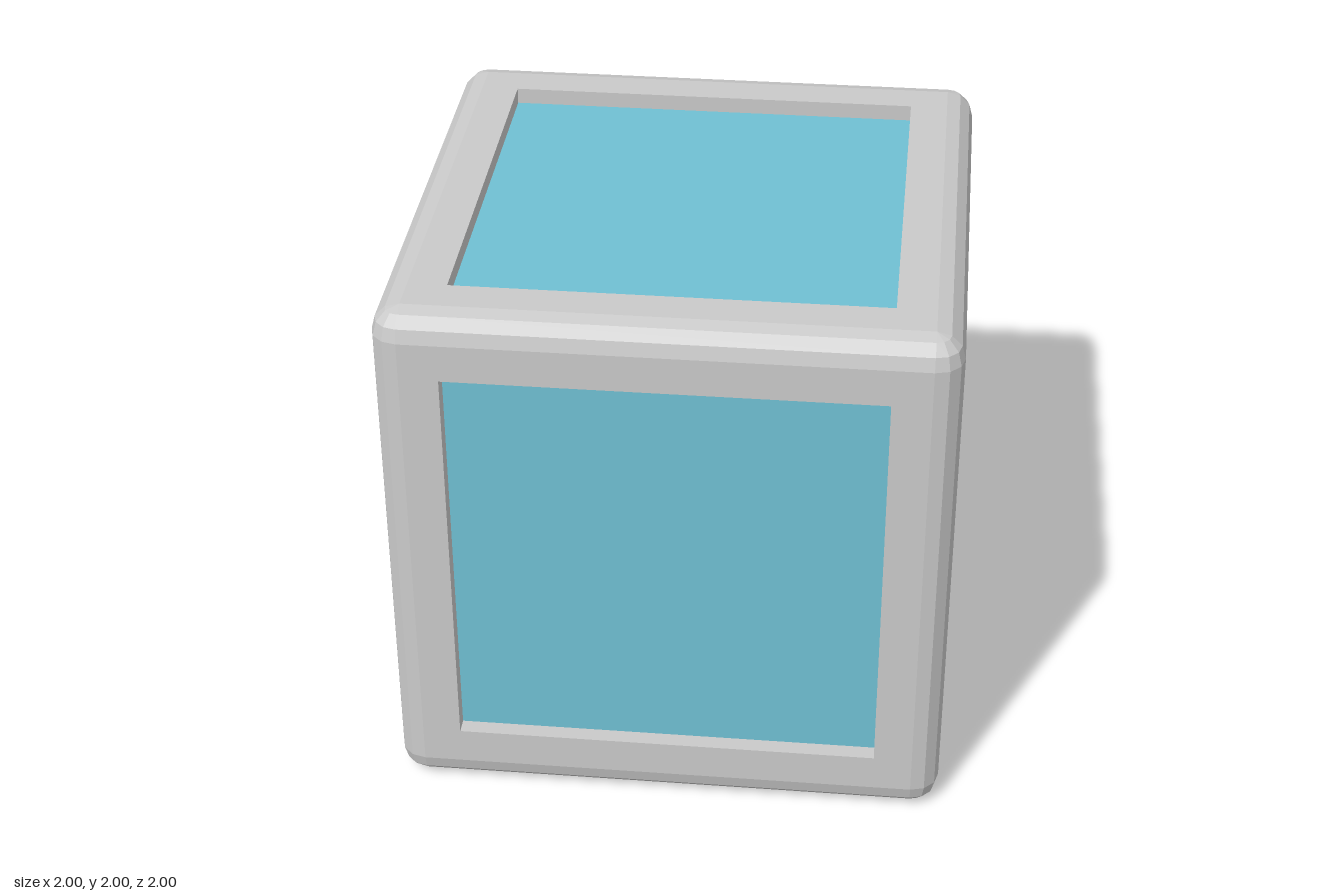
import * as THREE from 'three';
import { mergeGeometries } from 'three/addons/utils/BufferGeometryUtils.js';

const HALF = 1;        // half the cube side
const BEVEL = 0.1;     // radius of the rounded edges
const FLAT = HALF - BEVEL;
const OPENING = 0.762; // half the panel side
const DEPTH = 0.06;    // how far the panels are recessed
const QUARTER = Math.PI / 2;

// Merge pieces into one faceted geometry
function faceted(parts) {
  const merged = mergeGeometries(parts.map(p => (p.index ? p.toNonIndexed() : p)));
  merged.computeVertexNormals();
  return merged;
}

// Four copies of a piece turned about the vertical axis
function fourAround(piece) {
  return [0, 1, 2, 3].map(k => piece.clone().rotateY(k * QUARTER));
}

function square(half, Type) {
  return new Type([[-half, -half], [half, -half], [half, half], [-half, half]]
    .map(([x, y]) => new THREE.Vector2(x, y)));
}

// Rounded edges and corners, plus the plain underside
function shellGeometry() {
  const edge = new THREE.CylinderGeometry(BEVEL, BEVEL, 2 * FLAT, 3, 1, true, 0, QUARTER)
    .translate(FLAT, 0, FLAT);
  const corner = new THREE.SphereGeometry(BEVEL, 3, 3, QUARTER, QUARTER, 0, QUARTER)
    .translate(FLAT, FLAT, FLAT);
  const parts = [new THREE.PlaneGeometry(2 * FLAT, 2 * FLAT).rotateX(QUARTER).translate(0, -HALF, 0)];
  for (const e of fourAround(edge)) {
    parts.push(e, e.clone().rotateX(QUARTER), e.clone().rotateZ(QUARTER));
  }
  for (const c of fourAround(corner)) parts.push(c, c.clone().rotateX(Math.PI));
  return faceted(parts);
}

// Square rim with the inner walls of the recess, facing +z
function rimGeometry() {
  const outline = square(FLAT, THREE.Shape);
  outline.holes.push(square(OPENING, THREE.Path));
  const parts = [new THREE.ShapeGeometry(outline).translate(0, 0, HALF)];
  for (let k = 0; k < 4; k++) {
    parts.push(new THREE.PlaneGeometry(2 * OPENING, DEPTH)
      .rotateX(QUARTER)
      .translate(0, OPENING, HALF - DEPTH / 2)
      .rotateZ(k * QUARTER));
  }
  return faceted(parts);
}

export function createModel() {
  const frameGrey = new THREE.MeshStandardMaterial({ color: 0xcacaca });
  frameGrey.name = 'frame grey';
  const panelBlue = new THREE.MeshStandardMaterial({ color: 0x70c0d3 });
  panelBlue.name = 'panel blue';

  const model = new THREE.Group();
  model.name = 'panelledCube';

  const shell = new THREE.Mesh(shellGeometry(), frameGrey);
  shell.name = 'roundedShell';
  shell.position.y = HALF;
  model.add(shell);

  // One recessed panel on each side and on top
  const rim = rimGeometry();
  const pane = new THREE.PlaneGeometry(2 * OPENING, 2 * OPENING).translate(0, 0, HALF - DEPTH);
  const sides = {
    front: [0, 0], left: [0, QUARTER], back: [0, Math.PI], right: [0, -QUARTER], top: [-QUARTER, 0],
  };
  for (const [name, [rx, ry]] of Object.entries(sides)) {
    const side = new THREE.Group();
    side.name = name + 'Side';
    const rimMesh = new THREE.Mesh(rim, frameGrey);
    rimMesh.name = name + 'Rim';
    const paneMesh = new THREE.Mesh(pane, panelBlue);
    paneMesh.name = name + 'Panel';
    side.add(rimMesh, paneMesh);
    side.rotation.set(rx, ry, 0);
    side.position.y = HALF;
    model.add(side);
  }
  return model;
}
